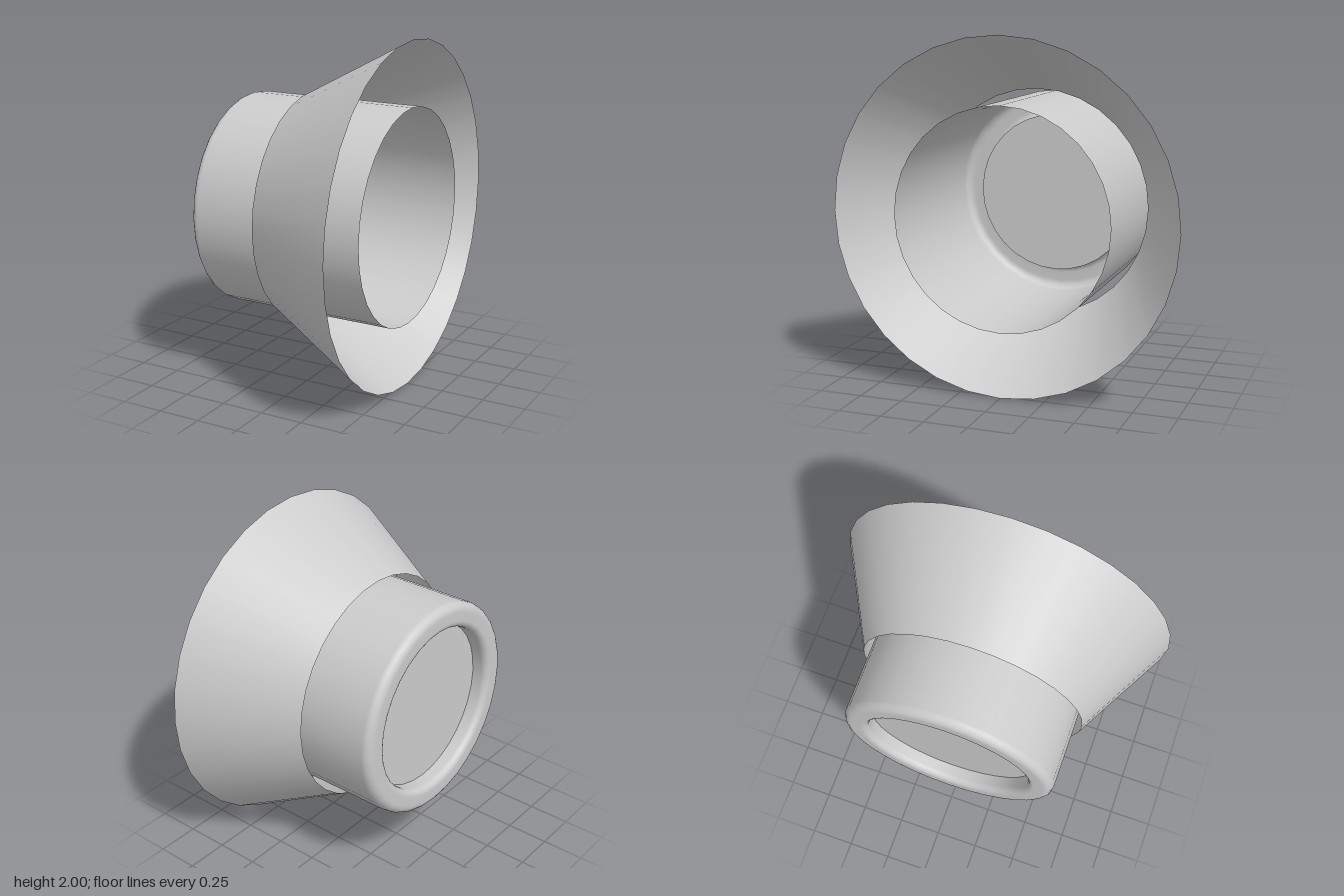
import * as THREE from 'three';

const SIDES = 32;
const HALF = 0.53; // half length along x

export function createModel() {
  const group = new THREE.Group();
  const material = new THREE.MeshStandardMaterial({ color: 0xcccccc, side: THREE.DoubleSide });

  // Revolve a profile of [radius, x] points around the x axis
  const revolve = (name, points) => {
    const profile = points.map(([r, x]) => new THREE.Vector2(r, x));
    const geometry = new THREE.LatheGeometry(profile, SIDES).rotateZ(-Math.PI / 2);
    const mesh = new THREE.Mesh(geometry, material);
    mesh.name = name;
    mesh.position.y = 1;
    group.add(mesh);
  };

  // Quarter-round fillet points from angle a to b (degrees)
  const fillet = (r, x, radius, a, b, steps = 5) =>
    Array.from({ length: steps + 1 }, (_, i) => {
      const t = THREE.MathUtils.degToRad(a + ((b - a) * i) / steps);
      return [r + radius * Math.cos(t), x + radius * Math.sin(t)];
    });

  // Open flared cone
  revolve('flaredShade', [[0.667, -0.096], [1, HALF]]);

  // Thin cup wall: recess wall, rounded lip, rounded outer edge, straight tube
  revolve('cupWall', [
    [0.482, -HALF + 0.1],
    ...fillet(0.522, -HALF + 0.04, 0.04, 180, 270),
    ...fillet(0.577, -HALF + 0.05, 0.05, 270, 360),
    [0.627, HALF],
  ]);

  // Flat floor of the recess
  revolve('recessedFloor', [[0, -HALF + 0.1], [0.482, -HALF + 0.1]]);

  return group;
}
